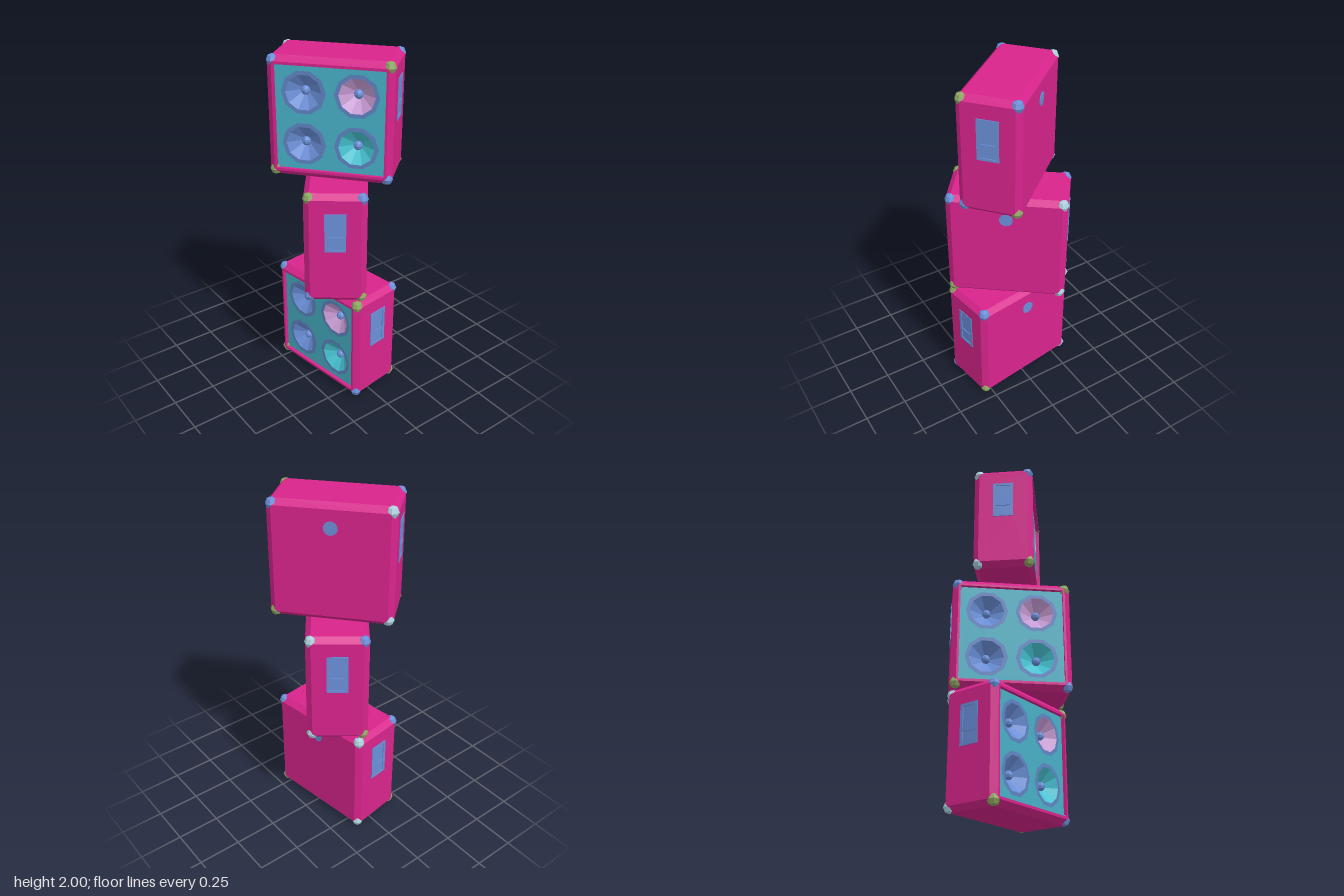
import * as THREE from 'three';

const mat = (name, color, side = THREE.FrontSide) =>
  new THREE.MeshStandardMaterial({ name, color, side, flatShading: true });

// half sizes of a cabinet [x, y, z] and its edge chamfer
const H = [0.333, 0.3285, 0.17], C = 0.03;
const RECESS = 0.02, SIDES = 10;

function rectPath(w, h, y = 0, Type = THREE.Path) {
  return new Type([[-w, -h], [w, -h], [w, h], [-w, h]].map(([a, b]) => new THREE.Vector2(a, b + y)));
}
function plate(w, h, holes = [], depth = 0, y = 0) {
  const s = rectPath(w, h, y, THREE.Shape);
  s.holes.push(...holes);
  return depth ? new THREE.ExtrudeGeometry(s, { depth, bevelEnabled: false }) : new THREE.ShapeGeometry(s);
}
function ngon(r, cx, cy) {
  return new THREE.Path(Array.from({ length: SIDES }, (_, i) => {
    const a = (i / SIDES) * Math.PI * 2;
    return new THREE.Vector2(cx + r * Math.cos(a), cy + r * Math.sin(a));
  }));
}
function add(parent, name, geo, material, x = 0, y = 0, z = 0) {
  const m = new THREE.Mesh(geo, material);
  m.name = name;
  m.position.set(x, y, z);
  parent.add(m);
  return m;
}

// the twelve sloping strips between the cabinet's flat faces
function chamferGeometry() {
  const pos = [];
  for (let a = 0; a < 3; a++) {
    const b = (a + 1) % 3, t = (a + 2) % 3;
    for (const sa of [-1, 1]) for (const sb of [-1, 1]) {
      const pt = (first, st) => {
        const p = [0, 0, 0];
        p[a] = sa * (H[a] - (first ? 0 : C));
        p[b] = sb * (H[b] - (first ? C : 0));
        p[t] = st * (H[t] - C);
        return p;
      };
      const q = [pt(true, -1), pt(false, -1), pt(false, 1), pt(true, 1)];
      if (sa * sb < 0) q.reverse();
      for (const i of [0, 1, 2, 0, 2, 3]) pos.push(...q[i]);
    }
  }
  const g = new THREE.BufferGeometry();
  g.setAttribute('position', new THREE.Float32BufferAttribute(pos, 3));
  g.computeVertexNormals();
  return g;
}

// inward-facing pocket whose floor narrows towards the top
function pocketGeometry(w, h, depth) {
  const g = new THREE.BoxGeometry(w, h, depth).toNonIndexed();
  const p = g.attributes.position;
  for (let i = 0; i < p.count; i++) {
    if (p.getZ(i) < 0 && p.getY(i) < 0) p.setY(i, h * 0.15);
  }
  g.scale(-1, 1, 1);
  // mirrored scaling turns the faces inwards
  g.computeVertexNormals();
  return g;
}

function makeHandle(m) {
  const g = new THREE.Group();
  g.name = 'sideHandle';
  add(g, 'handlePlate', plate(0.058, 0.113, [rectPath(0.04, 0.06, 0.038), rectPath(0.04, 0.03, -0.07)], 0.012), m.blue, 0, 0, -0.008);
  add(g, 'upperPocket', pocketGeometry(0.082, 0.122, 0.05), m.blue, 0, 0.038, -0.026);
  add(g, 'lowerPocket', pocketGeometry(0.082, 0.062, 0.05), m.blue, 0, -0.07, -0.026);
  return g;
}

function makeSpeaker(m, cone) {
  const g = new THREE.Group();
  g.name = 'speaker';
  add(g, 'speakerRing', new THREE.RingGeometry(0.097, 0.119, SIDES, 1), m.ring, 0, 0, 0.003);
  const profile = [[0.018, -0.055], [0.1, 0.002]].map(([r, y]) => new THREE.Vector2(r, y));
  // turned so that the cone's corners meet those of the ring
  const lathe = new THREE.LatheGeometry(profile, SIDES, Math.PI / 2).rotateX(Math.PI / 2);
  add(g, 'speakerCone', lathe, cone, 0, 0, 0);
  add(g, 'dustCap', new THREE.SphereGeometry(0.025, 8, 6), m.blue, 0, 0, -0.045);
  return g;
}

function makeCabinet(m) {
  const g = new THREE.Group();
  g.name = 'cabinet';
  const [w, h, d] = H.map((v) => v - C);

  // shell
  add(g, 'chamferedEdges', chamferGeometry(), m.pink);
  add(g, 'frontFrame', plate(w, h, [rectPath(0.291, 0.284)], RECESS), m.pink, 0, 0, H[2] - RECESS);
  add(g, 'backPanel', plate(w, h), m.pink, 0, 0, -H[2]).rotation.y = Math.PI;
  for (const s of [-1, 1]) {
    add(g, s > 0 ? 'topPanel' : 'bottomPanel', plate(w, d), m.pink, 0, s * H[1], 0).rotation.x = -s * Math.PI / 2;
    add(g, 'sidePanel', plate(d, h, [rectPath(0.05, 0.105, 0.108)]), m.pink, s * H[0], 0, 0).rotation.y = s * Math.PI / 2;
    const handle = makeHandle(m);
    handle.position.set(s * H[0], 0.108, 0);
    handle.rotation.y = s * Math.PI / 2;
    g.add(handle);
  }

  // speaker board with four cones
  const R = 0.14, spots = [[-R, R, m.blue], [R, R, m.lilac], [-R, -R, m.blue], [R, -R, m.cyan]];
  add(g, 'speakerBoard', plate(0.293, 0.286, spots.map(([x, y]) => ngon(0.1, x, y))), m.teal, 0, 0, H[2] - RECESS);
  for (const [x, y, cone] of spots) {
    const sp = makeSpeaker(m, cone);
    sp.position.set(x, y, H[2] - RECESS);
    g.add(sp);
  }

  // socket plate on the back
  add(g, 'backSocket', new THREE.CylinderGeometry(0.038, 0.038, 0.006, SIDES).rotateX(Math.PI / 2), m.blue, 0, 0.2, -H[2]);

  // corner protectors
  const capGeo = new THREE.SphereGeometry(0.034, 8, 4);
  for (const x of [-1, 1]) for (const y of [-1, 1]) for (const z of [-1, 1]) {
    const color = x < 0 && z < 0 ? m.pale : x * y * z < 0 ? m.blue : m.green;
    // blue and green alternate, the back right edge is pale
    add(g, 'cornerCap', capGeo, color, x * w, y * h, z * d);
  }
  return g;
}

export function createModel() {
  const m = {
    pink: mat('cabinet pink', 0xd8248c, THREE.DoubleSide),
    teal: mat('board teal', 0x48b0c6, THREE.DoubleSide),
    blue: mat('blue', 0x6a8fd8),
    ring: mat('ring blue', 0x5f84c4, THREE.DoubleSide),
    lilac: mat('cone lilac', 0xcb9fd8, THREE.DoubleSide),
    cyan: mat('cone cyan', 0x48c4d4, THREE.DoubleSide),
    green: mat('corner green', 0x8ea662),
    pale: mat('corner pale blue', 0xabd0dc),
  };
  m.blueCone = m.blue;
  m.blue.side = THREE.DoubleSide;
  const model = new THREE.Group();
  model.name = 'speakerStack';
  // three cabinets, each turned differently
  [8, -38, 40].forEach((deg, i) => {
    const cab = makeCabinet(m);
    cab.position.y = 0.3325 + i * 0.6675;
    cab.rotation.y = THREE.MathUtils.degToRad(deg);
    model.add(cab);
  });
  return model;
}
